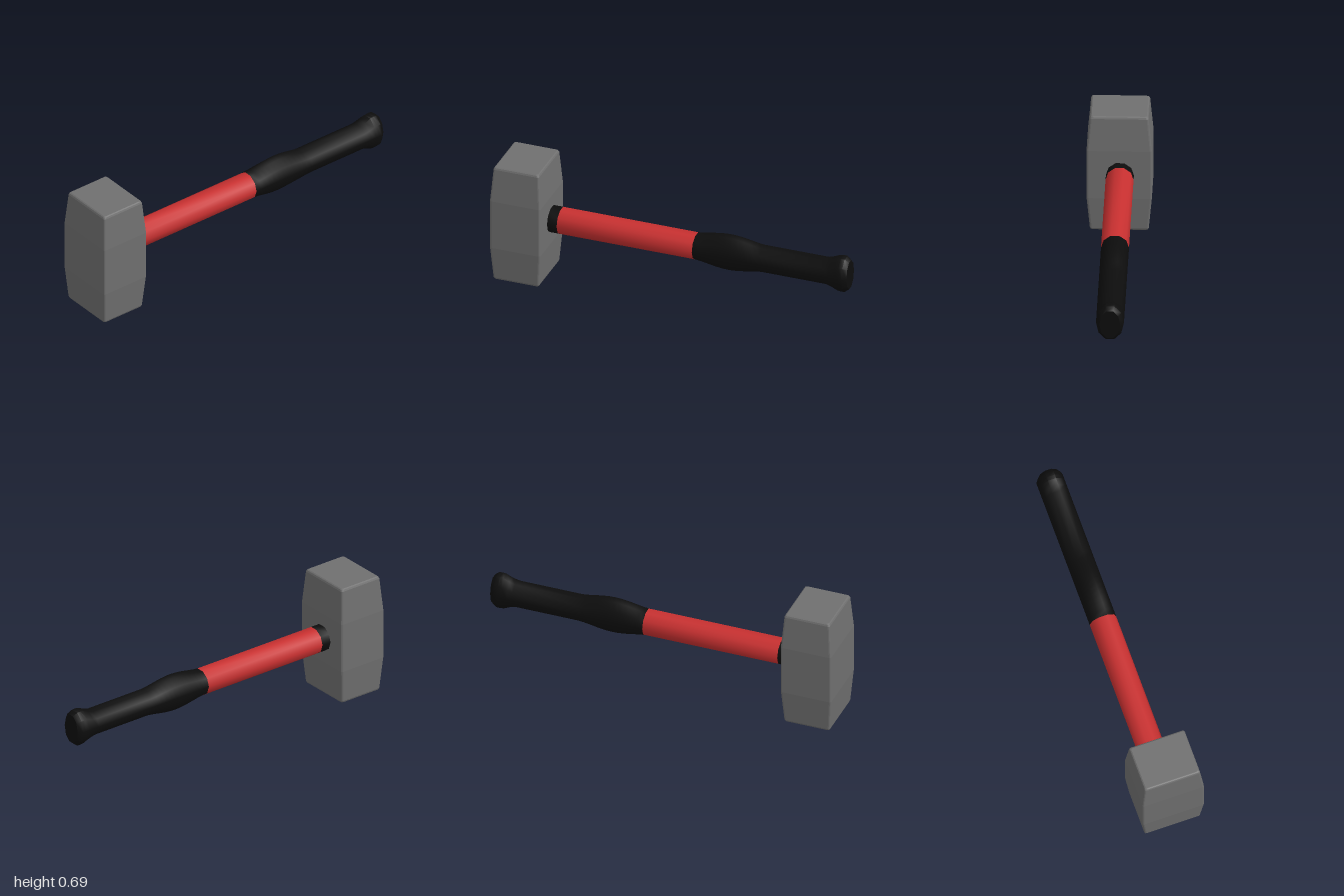
import * as THREE from 'three';
import { toCreasedNormals } from 'three/addons/utils/BufferGeometryUtils.js';

// Skin a list of closed rings (arrays of [x, y, z]) and cap both ends
function loft(rings, crease) {
  const n = rings[0].length, last = rings.length - 1;
  const pos = rings.flat(2), idx = [];
  for (let i = 0; i < last; i++) {
    for (let j = 0; j < n; j++) {
      const a = i * n + j, b = i * n + (j + 1) % n;
      idx.push(a, a + n, b, b, a + n, b + n);
    }
  }
  for (let j = 1; j < n - 1; j++) {
    idx.push(0, j, j + 1);
    idx.push(last * n, last * n + j + 1, last * n + j);
  }
  const g = new THREE.BufferGeometry();
  g.setAttribute('position', new THREE.Float32BufferAttribute(pos, 3));
  g.setIndex(idx);
  return toCreasedNormals(g, crease);
}

// Ten-sided oval ring around the handle axis
const AXIS_Y = 0.343;
function ovalRing([x, ry, rz]) {
  const ring = [];
  for (let j = 0; j < 10; j++) {
    const t = j * Math.PI / 5;
    ring.push([x, AXIS_Y + ry * Math.sin(t), -0.004 + rz * Math.cos(t)]);
  }
  return ring;
}

// Rectangular ring with rounded corners around the head axis
function headRing([y, hx, hz]) {
  const r = 0.011, ring = [];
  for (const [sx, sz, start] of [[1, 1, 0], [-1, 1, 1], [-1, -1, 2], [1, -1, 3]]) {
    for (let k = 0; k <= 3; k++) {
      const t = (start + k / 3) * Math.PI / 2;
      ring.push([-0.855 + sx * (hx - r) + r * Math.cos(t), y, sz * (hz - r) + r * Math.sin(t)]);
    }
  }
  return ring;
}

export function createModel() {
  const group = new THREE.Group();
  const mat = (name, color) => {
    const m = new THREE.MeshStandardMaterial({ color });
    m.name = name;
    return m;
  };
  const steel = mat('steel grey', 0x6f6f6f);
  const red = mat('handle red', 0xc83030);
  const rubber = mat('rubber black', 0x0d0d0d);
  const add = (name, geometry, material) => {
    const mesh = new THREE.Mesh(geometry, material);
    mesh.name = name;
    group.add(mesh);
  };

  // Block head: straight middle, tapered ends, rounded rims
  const half = [[0, 0.121, 0.148], [0.004, 0.127, 0.154], [0.013, 0.131, 0.158], [0.2, 0.145, 0.175]];
  const mirrored = half.map(([y, hx, hz]) => [0.685 - y, hx, hz]).reverse();
  add('head', loft([...half, ...mirrored].map(headRing), 0.05), steel);

  // Straight handle pieces
  const R = 0.075;
  add('collar', loft([[-0.73, R, R], [-0.655, R, R]].map(ovalRing), 0.8), rubber);
  add('shaft', loft([[-0.655, R, R], [0.12, R, R]].map(ovalRing), 0.8), red);

  // Grip with a palm swell and a flared, bevelled butt
  const grip = [];
  for (let i = 0; i <= 12; i++) {
    const u = i / 12;
    grip.push([0.12 + 0.38 * u, R + 0.027 * Math.sin(Math.PI * u) ** 1.4, R]);
  }
  grip.push([0.87, R, R], [0.9, 0.085, R], [0.935, 0.102, R], [0.955, 0.105, R],
    [0.977, 0.104, R], [1, 0.085, 0.056]);
  add('grip', loft(grip.map(ovalRing), 0.8), rubber);

  return group;
}
